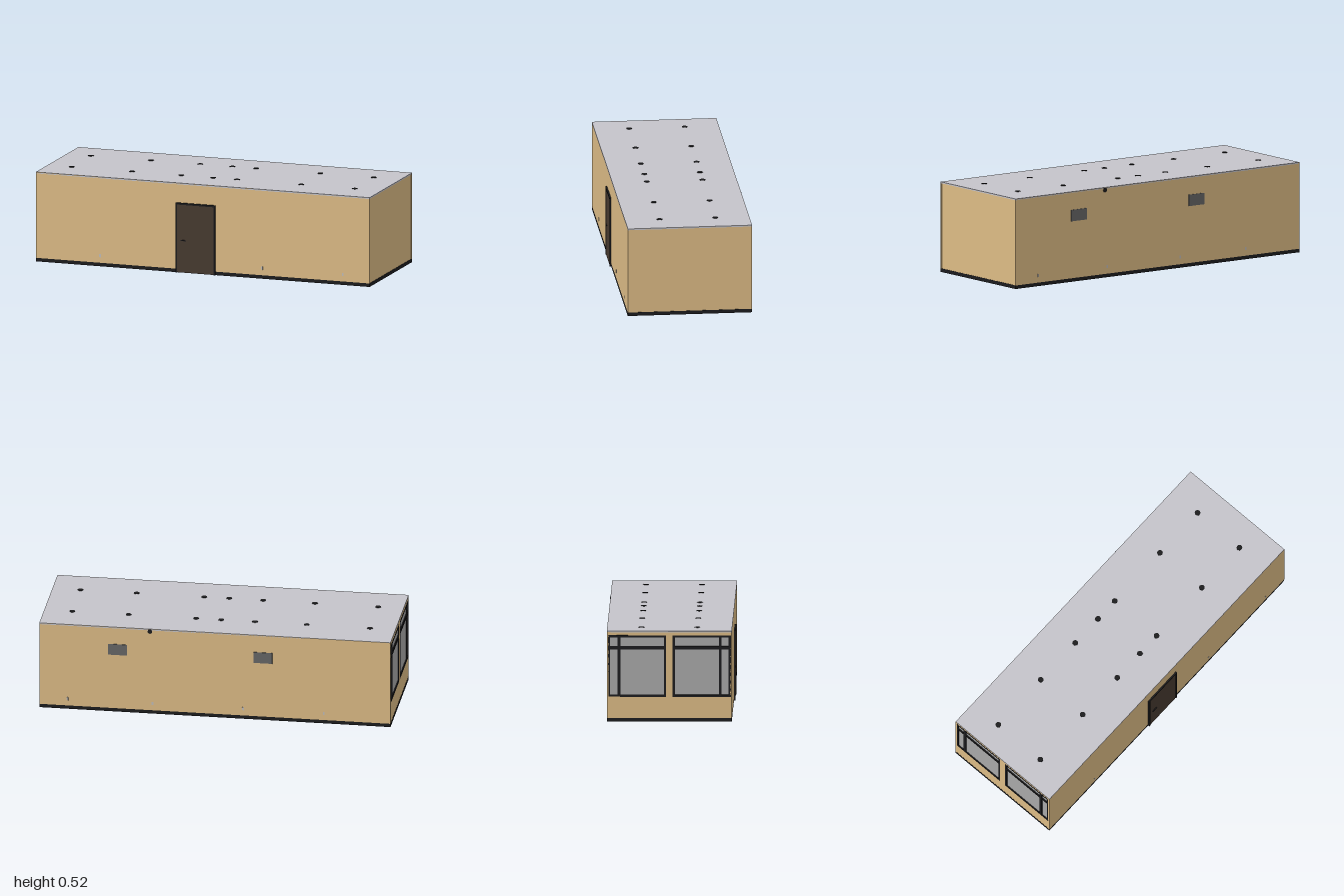
import * as THREE from 'three';

const mat = (color) => new THREE.MeshStandardMaterial({ color });

export function createModel() {
  const model = new THREE.Group();
  const tan = mat(0xdcbb85), black = mat(0x1c1c1e), roofGrey = mat(0xc5c4ca);
  const brown = mat(0x473a30), glass = mat(0xa8a8a8), ventGrey = mat(0x666666), socketGrey = mat(0xc0bcb8);

  const add = (name, geometry, material, parent = model) => {
    const mesh = new THREE.Mesh(geometry, material);
    mesh.name = name;
    parent.add(mesh);
    return mesh;
  };
  // Box given by its minimum and maximum corners
  const box = (name, [x0, y0, z0], [x1, y1, z1], material, parent) => {
    const mesh = add(name, new THREE.BoxGeometry(x1 - x0, y1 - y0, z1 - z0), material, parent);
    mesh.position.set((x0 + x1) / 2, (y0 + y1) / 2, (z0 + z1) / 2);
    return mesh;
  };

  const front = 0.348, back = -0.356, top = 0.515, base = 0.02;

  // Floor slab and roof
  box('floor', [-1, 0, back], [1, base, 0.34], black);
  box('frontPlinth', [-0.999, 0, 0.34], [0.999, base, front], black);
  box('roof', [-1, top - 0.008, back], [1, top, front], roofGrey);

  // Long walls and the plain end wall
  box('frontWall', [-1, base, 0.339], [1, top - 0.001, front], tan);
  box('backWall', [-1, base, back], [1, top - 0.001, back + 0.01], tan);
  box('plainEndWall', [0.985, base, back + 0.005], [0.998, top - 0.004, 0.34], tan);

  // Glazed end: a wall with two window openings
  const sill = 0.14, head = 0.49;
  const windows = [
    { z0: -0.35, z1: -0.022, mullion: -0.288 },
    { z0: 0.015, z1: 0.343, mullion: 0.283 },
  ];
  const outline = new THREE.Shape();
  outline.moveTo(back, base).lineTo(front, base).lineTo(front, top - 0.002).lineTo(back, top - 0.002).closePath();
  for (const { z0, z1 } of windows) {
    const hole = new THREE.Path();
    hole.moveTo(z0, sill).lineTo(z0, head).lineTo(z1, head).lineTo(z1, sill).closePath();
    outline.holes.push(hole);
  }
  const endWall = add('glazedEndWall', new THREE.ExtrudeGeometry(outline, { depth: 0.014, bevelEnabled: false }), tan);
  endWall.rotation.y = -Math.PI / 2;
  endWall.position.x = -0.985;

  // Window frames, bars and panes
  windows.forEach(({ z0, z1, mullion }) => {
    const win = new THREE.Group();
    win.name = 'window';
    model.add(win);
    const bar = (name, za, ya, zb, yb) => box(name, [-1, ya, za], [-0.984, yb, zb], black, win);
    const w = 0.012;
    bar('frameBottom', z0, sill, z1, sill + w);
    bar('frameTop', z0, head - w, z1, head);
    bar('frameSide', z0, sill, z0 + w, head);
    bar('frameSide', z1 - w, sill, z1, head);
    bar('mullion', mullion - 0.008, sill, mullion + 0.008, head);
    bar('transom', z0, 0.41, z1, 0.428);
    box('pane', [-0.994, sill, z0], [-0.988, head, z1], glass, win);
  });

  // Front door with frame and handle
  const door = new THREE.Group();
  door.name = 'door';
  model.add(door);
  const dl = -0.16, dr = 0.077, dt = 0.402, df = 0.357, fw = 0.01;
  box('frameLeft', [dr - fw, 0, 0.34], [dr, dt, df], black, door);
  box('frameRight', [dl, 0, 0.34], [dl + fw, dt, df], black, door);
  box('frameTop', [dl, dt - fw, 0.34], [dr, dt, df], black, door);
  box('doorPanel', [dl + fw, 0.002, 0.34], [dr - fw, dt - fw, df - 0.002], brown, door);
  box('handle', [-0.13, 0.184, 0.354], [-0.097, 0.189, 0.36], black, door);

  // Two rows of round roof fittings
  const disc = new THREE.CylinderGeometry(0.016, 0.016, 0.008, 20);
  for (const x of [-0.855, -0.495, -0.2, -0.007, 0.135, 0.52, 0.84])
    for (const z of [-0.163, 0.152]) add('roofFitting', disc, black).position.set(x, top - 0.002, z);

  // Vents and a round outlet on the back wall
  for (const x of [0.555, -0.273])
    box('vent', [x - 0.054, 0.346, -0.359], [x + 0.054, 0.411, back + 0.003], ventGrey);
  const outlet = add('outlet', new THREE.CylinderGeometry(0.013, 0.013, 0.008, 20), black);
  outlet.rotation.x = Math.PI / 2;
  outlet.position.set(0.37, 0.5, back + 0.002);

  // Small sockets along the foot of both long walls
  const socket = (x, z) => box('socket', [x - 0.005, 0.052, z - 0.001], [x + 0.005, 0.07, z + 0.001], socketGrey);
  for (const x of [-0.615, 0.355, 0.84]) socket(x, front);
  for (const x of [-0.62, -0.16, 0.355, 0.84]) socket(x, back);

  return model;
}
